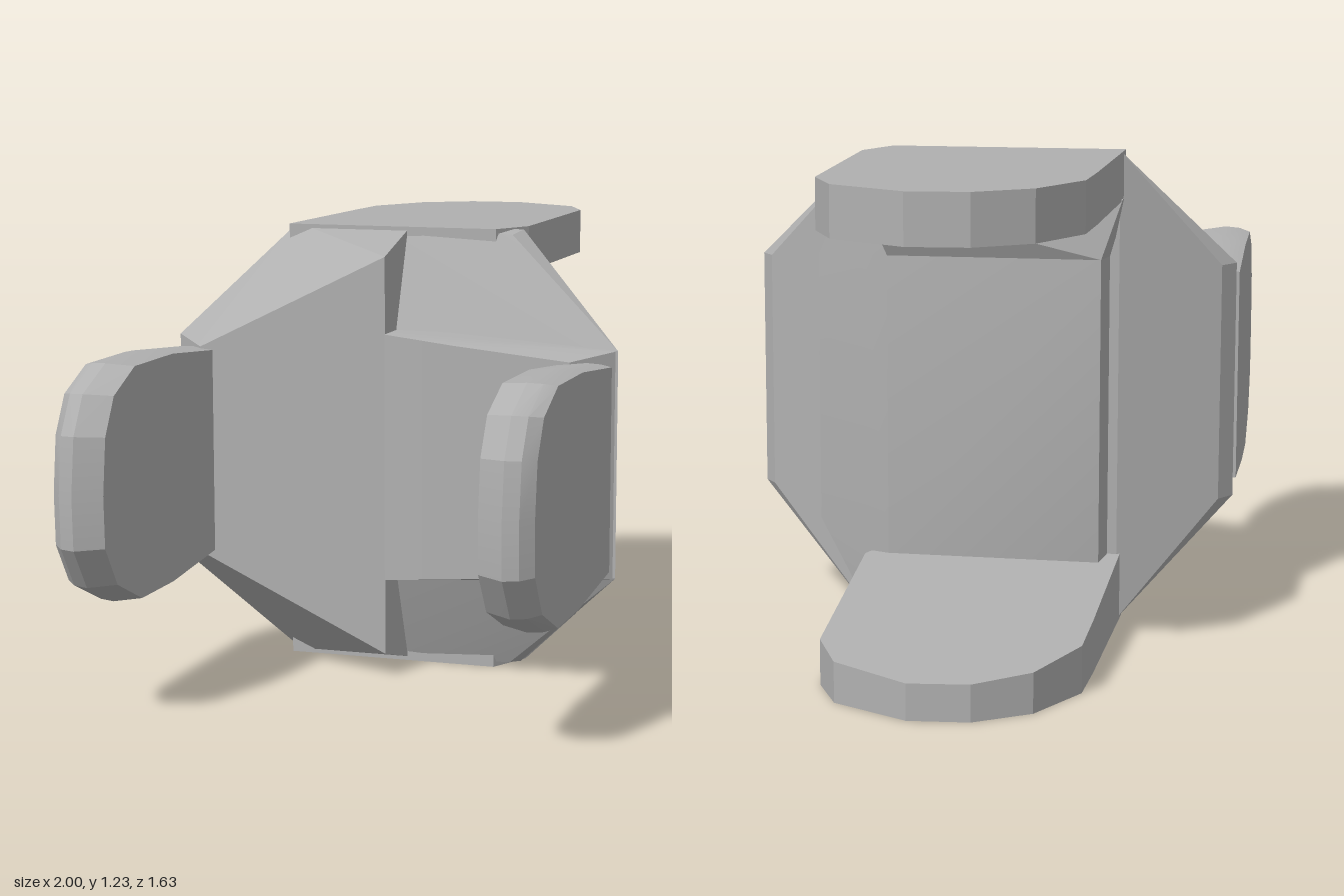
import * as THREE from 'three';
import { toCreasedNormals } from 'three/addons/utils/BufferGeometryUtils.js';
import { ConvexGeometry } from 'three/addons/geometries/ConvexGeometry.js';

const MID_Y = 0.615; // centre height of the joint
const MID_Z = -0.105; // centre of the joint across its width, before turning

export function createModel() {
  const grey = new THREE.MeshStandardMaterial({ color: 0xb0b0b0 });
  grey.name = 'plain grey';

  const model = new THREE.Group();
  model.name = 'doubleForkJoint';
  const joint = new THREE.Group();
  joint.name = 'turnedJoint';
  joint.rotation.y = Math.PI / 6;
  model.add(joint);

  // Closed convex solid from corner points
  function solid(name, points, crease = 0.35) {
    const geometry = new ConvexGeometry(points.map((p) => new THREE.Vector3(...p)));
    const mesh = new THREE.Mesh(toCreasedNormals(geometry, crease), grey);
    mesh.name = name;
    joint.add(mesh);
  }

  // Corners given from the joint's centre, mirrored in height, on one side in z
  const mirrored = (corners, side) => corners.flatMap(([x, y, z]) => [
    [x, MID_Y + y, MID_Z + side * z],
    [x, MID_Y - y, MID_Z + side * z],
  ]);

  // Root block of an upright arm
  const rootBlock = [[0.16, 0.31, 0.59], [0.11, 0.31, 0.625], [0.01, 0.29, 0.525]];

  // Rear half of the hub, ending in a ridge at the middle
  solid('hubBackHalf', mirrored([
    ...rootBlock, [0.28, 0.615, 0.335], [0.28, 0.615, 0], [0.045, 0.55, 0],
  ], -1));

  // Front half: a web with a pocket above and below, and a rib beside the pockets
  solid('hubFrontWeb', mirrored([
    ...rootBlock, [0.28, 0.34, 0], [0.28, 0.34, 0.33], [0.04, 0.34, 0], [0.02, 0.32, 0.2],
  ], 1));
  solid('hubFrontRib', mirrored([
    [0.25, 0.615, 0], [0.25, 0.6, 0.3], [0.3, 0.615, 0], [0.31, 0.61, 0.315],
    [0.14, 0.33, 0], [0.14, 0.33, 0.45], [0.16, 0.31, 0.6], [0.12, 0.31, 0.63],
  ], 1));

  // Raised pad on the hub face, running smoothly into the front side
  solid('hubFacePad', [
    ...[0.17, 0.96].flatMap((y) => [
      [0.26, y, -0.42], [0.35, y, -0.4], [0.35, y, 0.15], [0.33, y, 0.21],
    ]),
    [0.32, 0.03, 0.2], [0.32, 1.2, 0.2], [0.27, 0.03, 0.2], [0.27, 1.2, 0.2],
    [0.12, 0.31, 0.525], [0.12, 0.92, 0.525],
  ]);

  // Upright arms: rounded tongues with bevelled tips
  const tongue = [
    [0.05, 0.9], [-0.28, 0.93], [-0.54, 0.93], [-0.68, 0.87], [-0.74, 0.77], [-0.76, 0.62],
    [-0.755, 0.48], [-0.68, 0.37], [-0.52, 0.3], [-0.3, 0.3], [0.05, 0.33],
  ];
  const tongueLayers = [[0.49, 0.95], [0.56, 1], [0.6, 0.985], [0.63, 0.94]];
  for (const [name, side] of [['frontUprightArm', 1], ['backUprightArm', -1]]) {
    const points = [];
    for (const [offset, scale] of tongueLayers) {
      for (const [x, y] of tongue) {
        points.push([
          x < 0 ? x * scale : x,
          MID_Y + (y - MID_Y) * (0.5 + scale / 2),
          MID_Z + side * offset,
        ]);
      }
    }
    solid(name, points);
  }

  // Horizontal arms: rounded plates, the lower one thinning towards its tip
  const plate = [
    [0.24, -0.45], [0.75, -0.43], [0.91, -0.42], [1.08, -0.325], [1.165, -0.19],
    [1.175, -0.04], [1.07, 0.15], [0.94, 0.21], [0.36, 0.21], [0.24, 0.15],
  ];
  solid('upperArm', plate.flatMap(([x, z]) => [[x, 1.23, z], [x, 1.105, z]]));
  solid('lowerArm', plate.flatMap(([x, z]) => [
    [x, 0, z],
    [x, 0.18 - 0.09 * Math.max(0, (x - 0.3) / 0.875), z],
  ]));

  // Gusset under the upper arm, leaning out towards the front
  solid('upperArmGusset', [
    [0.26, 0.96, -0.42], [0.35, 0.96, -0.4], [0.26, 1.11, -0.45], [0.32, 1.11, -0.45],
    [0.26, 0.96, 0.15], [0.35, 0.96, 0.15], [0.28, 1.11, 0.2], [0.42, 1.11, 0.2],
  ]);

  return model;
}
